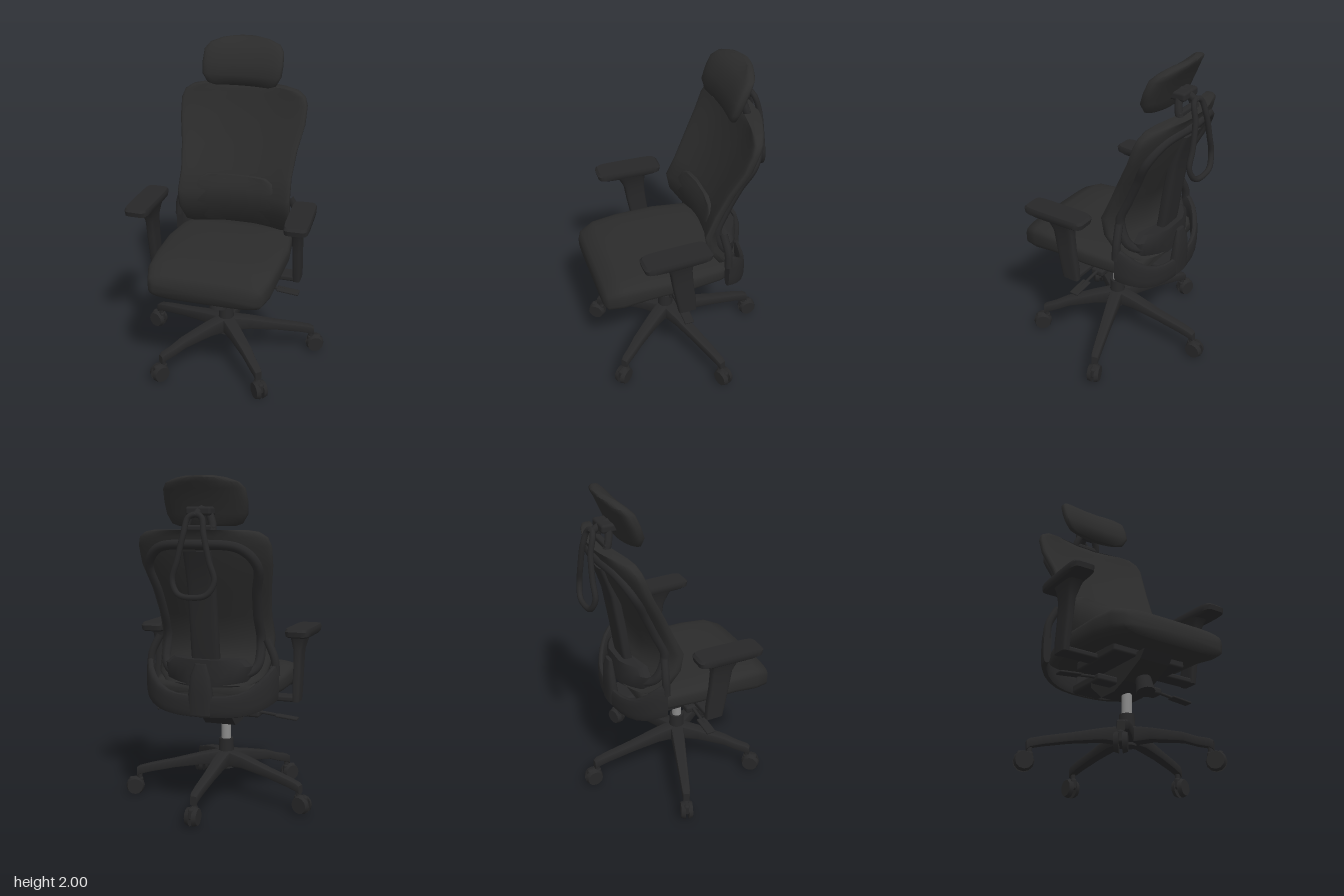
import * as THREE from 'three';
import { toCreasedNormals } from 'three/addons/utils/BufferGeometryUtils.js';
import { RoundedBoxGeometry } from 'three/addons/geometries/RoundedBoxGeometry.js';

const fabric = new THREE.MeshStandardMaterial({ name: 'black fabric', color: 0x2b2b2b });
const plastic = new THREE.MeshStandardMaterial({ name: 'black plastic', color: 0x272728 });
const steel = new THREE.MeshStandardMaterial({ name: 'grey steel', color: 0x8a8a8a });
const V = (x, y, z) => new THREE.Vector3(x, y, z);

function add(parent, name, geometry, material, x = 0, y = 0, z = 0) {
  const mesh = new THREE.Mesh(geometry, material);
  mesh.name = name;
  mesh.position.set(x, y, z);
  parent.add(mesh);
  return mesh;
}

// Closed skin over superellipse sections; place(section, c, s) gives each point
function loft(sections, place, power = 4, n = 28, crease = 0.7) {
  const pos = [], idx = [];
  const sup = v => Math.sign(v) * Math.pow(Math.abs(v), 2 / power);
  const rings = sections.map(sec => Array.from({ length: n }, (_, i) => {
    const a = ((i + 0.5) / n) * Math.PI * 2;
    return place(sec, sup(Math.cos(a)), sup(Math.sin(a)));
  }));
  rings.flat().forEach(p => pos.push(p.x, p.y, p.z));
  for (let r = 0; r < rings.length - 1; r++) for (let i = 0; i < n; i++) {
    const a = r * n + i, b = r * n + (i + 1) % n;
    idx.push(a, b, a + n, b, b + n, a + n);
  }
  [0, rings.length - 1].forEach(r => {
    const mid = rings[r].reduce((m, p) => m.add(p), V(0, 0, 0)).divideScalar(n);
    const k = pos.length / 3;
    pos.push(mid.x, mid.y, mid.z);
    for (let i = 0; i < n; i++) {
      const a = r * n + i, b = r * n + (i + 1) % n;
      if (r === 0) idx.push(k, b, a); else idx.push(k, a, b);
    }
  });
  // Turn the faces outward
  const P = i => V().fromArray(pos, i * 3);
  let volume = 0;
  for (let i = 0; i < idx.length; i += 3) volume += P(idx[i]).dot(P(idx[i + 1]).cross(P(idx[i + 2])));
  if (volume < 0) idx.reverse();
  const g = new THREE.BufferGeometry();
  g.setAttribute('position', new THREE.Float32BufferAttribute(pos, 3));
  g.setIndex(idx);
  return toCreasedNormals(g, crease);
}

const tube = (points, r, closed = false, n = 64) =>
  new THREE.TubeGeometry(new THREE.CatmullRomCurve3(points, closed), n, r, 8, closed);

// Backrest sections: height, half width, z of the forward side edges, depth of the hollow
const BACK = [[0.8, 0.28, -0.2, 0.11], [0.84, 0.34, -0.14, 0.12], [0.96, 0.36, -0.06, 0.125], [1.07, 0.36, -0.04, 0.13],
  [1.2, 0.355, -0.1, 0.13], [1.35, 0.37, -0.17, 0.125], [1.5, 0.4, -0.25, 0.11], [1.61, 0.403, -0.29, 0.105],
  [1.66, 0.385, -0.31, 0.1], [1.69, 0.34, -0.325, 0.095], [1.7, 0.28, -0.34, 0.09]];
function backAt(y) {
  const i = Math.max(1, BACK.findIndex(b => b[0] >= y));
  const t = (y - BACK[i - 1][0]) / (BACK[i][0] - BACK[i - 1][0]);
  const [, w, z, d] = BACK[i - 1].map((v, k) => v + (BACK[i][k] - v) * t);
  return { w, z, d };
}
// Middle of the cushion's thickness at u = -1..1 across
const cushionZ = (u, z, d) => z - d + (d - 0.03) * u * u;
function onRear(u, y) {
  const { w, z, d } = backAt(y);
  return V(u * w, y, cushionZ(u, z, d) - 0.038);
}

function buildBase(root) {
  const base = new THREE.Group();
  base.name = 'base';
  root.add(base);
  const hubZ = 0.085;
  add(base, 'hub', new THREE.CylinderGeometry(0.045, 0.055, 0.19, 20), plastic, 0, 0.275, hubZ);
  add(base, 'gasLift', new THREE.CylinderGeometry(0.03, 0.03, 0.2, 20), steel, 0, 0.44, hubZ);
  for (const [x, z] of [[0, -0.52], [0.55, -0.12], [-0.55, -0.12], [0.32, 0.48], [-0.32, 0.48]]) {
    const arm = new THREE.Group();
    arm.name = 'baseArm';
    arm.position.z = hubZ;
    arm.rotation.y = Math.atan2(x, z - hubZ);
    base.add(arm);
    const R = Math.hypot(x, z - hubZ);
    // Sections: distance, half width, bottom, top
    add(arm, 'leg', loft([[0, 0.045, 0.19, 0.3], [0.15, 0.04, 0.2, 0.275], [0.33, 0.033, 0.18, 0.235],
      [R - 0.1, 0.028, 0.152, 0.205], [R - 0.03, 0.025, 0.135, 0.188], [R - 0.01, 0.02, 0.12, 0.175]],
      ([d, w, b, t], c, s) => V(c * w, (b + t) / 2 + s * (t - b) / 2, d), 6, 12), plastic);
    add(arm, 'casterStem', new THREE.CylinderGeometry(0.016, 0.016, 0.09, 10), plastic, 0, 0.125, R - 0.028);
    add(arm, 'casterHood', new RoundedBoxGeometry(0.036, 0.07, 0.09, 2, 0.014), plastic, 0, 0.08, R - 0.005);
    for (const side of [-1, 1]) {
      // Wheels narrow towards their outer faces
      const wheel = add(arm, 'casterWheel', new THREE.CylinderGeometry(0.05, 0.059, 0.026, 12), plastic, side * 0.023, 0.058, R);
      wheel.rotation.z = -side * Math.PI / 2;
    }
  }
}

function buildSeat(root) {
  // Sections: z, half width, bottom, top
  add(root, 'seatCushion', loft([[0.57, 0.31, 0.665, 0.755], [0.55, 0.345, 0.643, 0.795], [0.46, 0.375, 0.65, 0.835],
    [0.3, 0.387, 0.68, 0.842], [0.05, 0.394, 0.69, 0.835], [-0.15, 0.37, 0.69, 0.825],
    [-0.25, 0.34, 0.695, 0.815], [-0.28, 0.3, 0.71, 0.79]],
    ([z, w, b, t], c, s) => V(c * w, (b + t) / 2 + s * (t - b) / 2, z), 4.5, 36, 0.9), fabric);
  add(root, 'seatTray', new RoundedBoxGeometry(0.5, 0.06, 0.4, 2, 0.015), plastic, 0, 0.667, 0.12);
  // Tilt mechanism
  const profile = new THREE.Shape([[0.4, 0.66], [0.36, 0.61], [0.2, 0.53], [0.1, 0.49], [-0.03, 0.49],
    [-0.15, 0.59], [-0.15, 0.66]].map(p => new THREE.Vector2(...p)));
  const body = new THREE.ExtrudeGeometry(profile, { depth: 0.2, bevelEnabled: false });
  body.rotateY(-Math.PI / 2).translate(0.1, 0, 0);
  add(root, 'tiltMechanism', body, plastic);
  add(root, 'mechanismSides', new RoundedBoxGeometry(0.46, 0.045, 0.09, 2, 0.015), plastic, 0, 0.55, 0.085);
  const knob = add(root, 'tensionKnob', new THREE.CylinderGeometry(0.045, 0.055, 0.09, 14), plastic, 0, 0.5, 0.26);
  knob.rotation.x = -0.25;
  for (const s of [-1, 1]) {
    add(root, 'lever', tube([V(s * 0.1, 0.56, 0.085), V(s * 0.25, 0.555, 0.085), V(s * 0.38, 0.54, 0.085)], 0.01, false, 16), plastic);
    const paddle = add(root, 'leverPaddle', new RoundedBoxGeometry(0.14, 0.014, 0.06, 2, 0.006), plastic, s * 0.4, 0.538, 0.085);
    paddle.rotation.z = -s * 0.1;
  }
  add(root, 'backLink', new RoundedBoxGeometry(0.2, 0.065, 0.3, 2, 0.02), plastic, 0, 0.645, -0.22);
}

function buildBack(root) {
  add(root, 'backCushion', loft(BACK, ([y, w, z, d], c, s) =>
    V(c * w, y, cushionZ(c, z, d) + s * 0.043), 4, 40, 0.9), fabric);
  add(root, 'lumbarCushion', loft([[0.84, 0.23], [0.87, 0.265], [1, 0.275], [1.1, 0.265], [1.15, 0.24], [1.175, 0.19]],
    ([y, w], c, s) => V(c * w, y, backAt(y).z - 0.098 + 0.035 * c * c + s * 0.036), 4, 32, 0.9), fabric);
  // Rear frame ring
  const side = [0.9, 1.05, 1.2, 1.35, 1.5];
  add(root, 'backFrame', tube([onRear(0, 0.84), onRear(0.6, 0.85), ...side.map(y => onRear(0.82, y)), onRear(0.6, 1.6),
    onRear(0, 1.62), onRear(-0.6, 1.6), ...side.map(y => onRear(-0.82, y)).reverse(), onRear(-0.6, 0.85)], 0.03, true, 100), plastic);
  // Sections: y, z
  add(root, 'spine', loft([[0.92, -0.28], [1, -0.295], [1.15, -0.315], [1.3, -0.34], [1.39, -0.355], [1.5, -0.39], [1.58, -0.42]],
    ([y, z], c, s) => V(c * 0.085, y, z + s * 0.03), 5, 16), plastic);
  add(root, 'lumbarSupport', loft([[0.79, 0.22], [0.82, 0.26], [0.91, 0.27], [0.95, 0.22]],
    ([y, w], c, s) => V(c * w, y, -0.325 + 0.09 * c * c + s * 0.035), 4, 24), plastic);

  // Curved yoke carrying the back, with raised side ends
  const steps = Array.from({ length: 17 }, (_, i) => (i / 16) * Math.PI);
  add(root, 'backYoke', loft(steps, (a, c, s) => {
    const end = Math.pow(Math.abs(Math.cos(a)), 4), r = 1 + c * 0.06;
    return V(0.395 * Math.cos(a) * r, 0.68 + 0.13 * end + s * (0.065 + 0.05 * end), -0.18 - 0.205 * Math.sin(a) * r - c * 0.005);
  }, 3, 14), plastic);
  for (const s of [-1, 1]) {
    add(root, 'yokeArm', tube([V(s * 0.4, 0.85, -0.185), V(s * 0.39, 0.95, -0.185), V(s * 0.34, 1.06, -0.17)], 0.025, false, 16), plastic);
  }
  // Sections: y, half width, z, half depth
  add(root, 'yokeUpright', loft([[0.63, 0.08, -0.37, 0.035], [0.75, 0.075, -0.38, 0.03], [0.86, 0.06, -0.385, 0.024],
    [0.93, 0.035, -0.38, 0.012]], ([y, w, z, d], c, s) => V(c * w, y, z + s * d), 3, 16), plastic);
}

function buildHeadrest(root) {
  // Sections: y, half width, z, half depth
  add(root, 'headCushion', loft([[1.72, 0.17, -0.285, 0.015], [1.735, 0.215, -0.28, 0.03], [1.79, 0.247, -0.28, 0.046],
    [1.86, 0.252, -0.305, 0.05], [1.93, 0.247, -0.335, 0.05], [1.965, 0.22, -0.365, 0.042], [1.99, 0.15, -0.39, 0.028],
    [2, 0.09, -0.405, 0.01]], ([y, w, z, d], c, s) => V(c * w, y, z - 0.01 + 0.03 * c * c + s * d), 3.2, 32, 0.9), fabric);
  for (const s of [-1, 1]) {
    add(root, 'headPost', tube([V(s * 0.08, 1.62, -0.43), V(s * 0.08, 1.72, -0.39), V(s * 0.05, 1.8, -0.37)], 0.023, false, 16), plastic);
  }
  add(root, 'headCrossbar', new RoundedBoxGeometry(0.2, 0.035, 0.04, 2, 0.012), plastic, 0, 1.71, -0.395);
  add(root, 'headBracket', new RoundedBoxGeometry(0.15, 0.05, 0.12, 2, 0.015), plastic, 0, 1.805, -0.36);
  // Garment hanger loop
  const half = [[0.04, 1.77, -0.46], [0.06, 1.68, -0.485], [0.095, 1.53, -0.495], [0.125, 1.42, -0.495], [0.085, 1.345, -0.51]];
  add(root, 'hangerArm', tube([V(0, 1.82, -0.33), V(0, 1.805, -0.4), V(0, 1.77, -0.46)], 0.022, false, 16), plastic);
  add(root, 'hangerLoop', tube([V(0, 1.785, -0.45), ...half.map(p => V(...p)), V(0, 1.328, -0.515),
    ...half.map(([x, y, z]) => V(-x, y, z)).reverse()], 0.017, true, 80), plastic);
}

function buildArms(root) {
  for (const side of [-1, 1]) {
    const arm = new THREE.Group();
    arm.name = side > 0 ? 'leftArmrest' : 'rightArmrest';
    root.add(arm);
    const pad = add(arm, 'armPad', loft([[1.05, 0.85], [1.06, 0.97], [1.09, 1], [1.105, 0.93]],
      ([y, k], c, s) => V(c * 0.075 * k, y, s * 0.209 * k), 6, 28), plastic, side * 0.477, 0, 0.172);
    pad.rotation.y = side * 0.03;
    // Sections: y, half width, z, half depth
    add(arm, 'armPost', loft([[1.06, 0.055, 0.16, 0.105], [1.03, 0.045, 0.155, 0.085], [0.96, 0.027, 0.14, 0.067],
      [0.85, 0.025, 0.128, 0.063], [0.72, 0.025, 0.108, 0.06], [0.645, 0.022, 0.1, 0.055]],
      ([y, w, z, d], c, s) => V(side * 0.46 + c * w, y, z + s * d), 5, 20), plastic);
    add(arm, 'armFoot', new RoundedBoxGeometry(0.27, 0.035, 0.1, 2, 0.012), plastic, side * 0.345, 0.66, 0.1);
  }
}

export function createModel() {
  const model = new THREE.Group();
  model.name = 'officeChair';
  [buildBase, buildSeat, buildBack, buildHeadrest, buildArms].forEach(build => build(model));
  return model;
}
